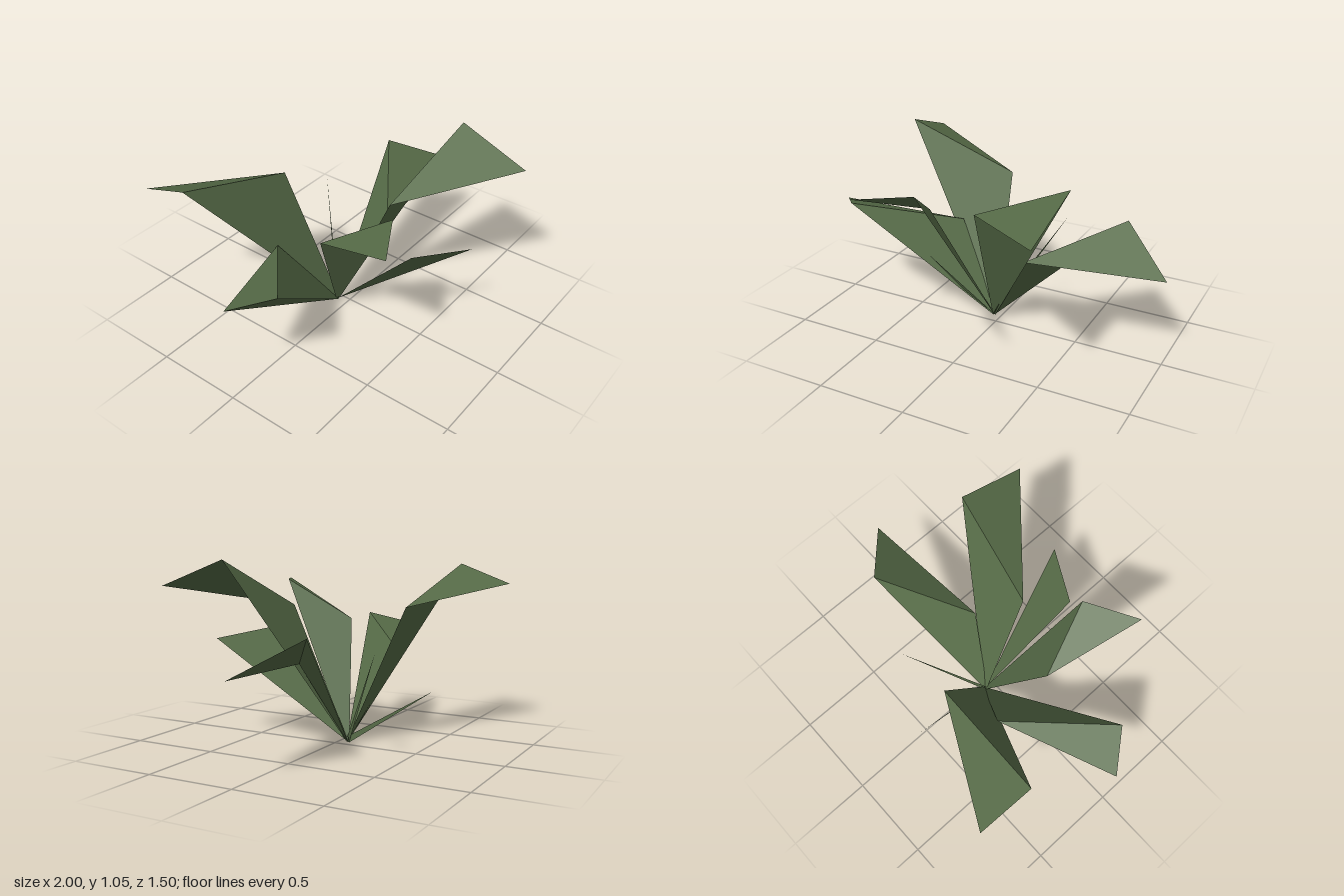
import * as THREE from 'three';

const leafGreen = new THREE.MeshStandardMaterial({
  color: 0x566b47, flatShading: true, side: THREE.DoubleSide,
});
leafGreen.name = 'leafGreen';

const root = new THREE.Vector3(-0.04, 0.015, -0.06);

// Mesh of flat triangles; each face lists corner numbers
function facets(name, corners, faces) {
  const geometry = new THREE.BufferGeometry().setFromPoints(
    faces.flat().map((i) => corners[i]));
  geometry.computeVertexNormals();
  const mesh = new THREE.Mesh(geometry, leafGreen);
  mesh.name = name;
  return mesh;
}

// Folded leaf: narrow root, blade widening to shoulder and elbow, tip bent over
function foldedLeaf(name, shoulder, tip, elbow, hollow = false) {
  const [s, t, e] = [shoulder, tip, elbow].map((p) => new THREE.Vector3(...p));
  const across = s.clone().sub(e).normalize().multiplyScalar(0.012);
  const corners = [root.clone().sub(across), root.clone().add(across), s, t, e];
  const faces = [[0, 1, 2], [0, 2, 4], [2, 3, 4]];
  if (hollow) faces.push([1, 3, 2], [0, 4, 3], [0, 3, 1]); // closed underside
  return facets(name, corners, faces);
}

// Single flat triangle from the root
function flatBlade(name, a, b) {
  return facets(name, [root, new THREE.Vector3(...a), new THREE.Vector3(...b)], [[0, 1, 2]]);
}

// Upright sliver that tapers to a point
function needle(name, tip) {
  const low = new THREE.Vector3(-0.04, 0.01, -0.07);
  const high = new THREE.Vector3(-0.04, 0.045, -0.06);
  return facets(name, [low, high, new THREE.Vector3(...tip)], [[0, 1, 2]]);
}

export function createModel() {
  const plant = new THREE.Group();
  plant.name = 'plant';
  plant.add(
    foldedLeaf('backRightLeaf', [-0.79, 1.0, -0.44], [-0.77, 0.89, -0.75], [-0.09, 0.79, -0.39]),
    foldedLeaf('rightLeaf', [-0.83, 0.67, 0.2], [-1.0, 0.6, 0.0], [-0.34, 0.5, -0.24], true),
    foldedLeaf('frontRightLeaf', [-0.24, 0.91, 0.45], [-0.52, 0.9, 0.61], [-0.37, 0.68, 0.09]),
    foldedLeaf('frontLeftLeaf', [0.58, 1.06, 0.34], [0.565, 0.91, 0.75], [0.005, 0.785, 0.26]),
    foldedLeaf('leftLeaf', [0.69, 0.7, -0.23], [1.0, 0.52, 0.03], [0.22, 0.485, 0.1]),
    flatBlade('frontLeaf', [-0.13, 0.63, 0.5], [0.18, 0.585, 0.68]),
    needle('backNeedle', [-0.07, 0.35, -0.57]),
    needle('backLeftNeedle', [0.28, 0.59, -0.39]),
  );
  return plant;
}
